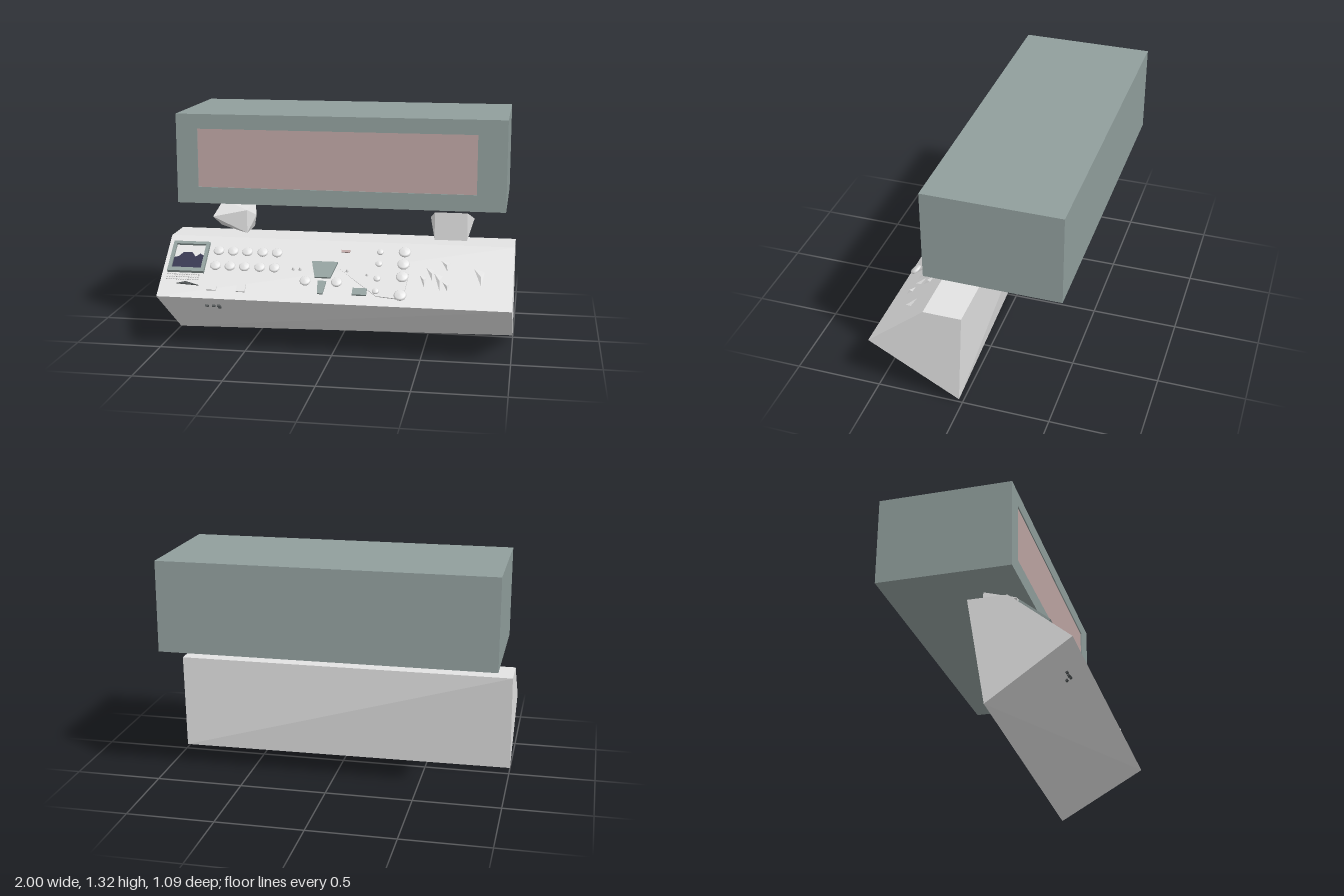
import * as THREE from 'three';
import { ConvexGeometry } from 'three/addons/geometries/ConvexGeometry.js';

const mat = (name, color) => {
  const m = new THREE.MeshStandardMaterial({ color });
  m.name = name;
  return m;
};

export function createModel() {
  const root = new THREE.Group();
  root.name = 'controlStation';
  const shell = mat('pale grey', 0xe2e2e2);
  const casing = mat('grey green', 0x909e9c);
  const rose = mat('dusty rose', 0xbda5a3);
  const navy = mat('dark navy', 0x30304c);
  const dark = mat('dark grey', 0x4a4f50);

  const add = (parent, name, geo, material, x = 0, y = 0, z = 0) => {
    const m = new THREE.Mesh(geo, material);
    m.name = name;
    m.position.set(x, y, z);
    parent.add(m);
    return m;
  };
  const box = (w, h, d) => new THREE.BoxGeometry(w, h, d);
  const hull = (pts) => new ConvexGeometry(pts.map((p) => new THREE.Vector3(...p)));
  const shapeOf = (pts) => new THREE.Shape(pts.map((p) => new THREE.Vector2(...p)));
  const plate = (pts, depth) =>
    new THREE.ExtrudeGeometry(shapeOf(pts), { depth, bevelEnabled: false });

  // Console: four-sided section with a slightly twisted bottom edge
  const L = [[-1, 0.595, -0.008], [-1, 0.595, 0.21], [-1, 0.315, 0.545], [-1, 0, 0.09]];
  const R = [[1, 0.595, -0.008], [1, 0.595, 0.21], [1, 0.315, 0.545], [1, 0.018, 0.02]];
  const tris = [R[0], R[1], R[2], R[0], R[2], R[3], L[0], L[2], L[1], L[0], L[3], L[2]];
  for (let i = 0; i < 4; i++) {
    const j = (i + 1) % 4;
    tris.push(L[i], L[j], R[i], L[j], R[j], R[i]);
  }
  const consoleGeo = new THREE.BufferGeometry();
  consoleGeo.setAttribute('position', new THREE.Float32BufferAttribute(tris.flat(), 3));
  consoleGeo.computeVertexNormals();
  add(root, 'consoleBody', consoleGeo, shell);

  // Display housing with a shallow recessed window
  add(root, 'displayHousing', box(1.9, 0.52, 0.755), casing, -0.005, 1.055, -0.1675);
  const rim = shapeOf([[-0.955, 0.795], [0.945, 0.795], [0.945, 1.315], [-0.955, 1.315]]);
  rim.holes.push(new THREE.Path(
    [[-0.83, 0.89], [-0.83, 1.23], [0.78, 1.23], [0.78, 0.89]].map((p) => new THREE.Vector2(...p))));
  add(root, 'displayRim', new THREE.ExtrudeGeometry(rim, { depth: 0.01, bevelEnabled: false }),
    casing, 0, 0, 0.21);
  add(root, 'displayWindow', box(1.61, 0.34, 0.004), rose, -0.025, 1.06, 0.212);

  // Faceted supports
  add(root, 'rightSupport', hull([
    [-0.74, 0.775, 0], [-0.545, 0.775, 0], [-0.515, 0.71, 0.1], [-0.55, 0.62, 0.195],
    [-0.755, 0.62, 0], [-0.755, 0.71, 0.19], [-0.55, 0.755, 0.19], [-0.55, 0.62, 0]]), shell);
  add(root, 'leftSupport', hull([
    [0.545, 0.78, 0.197], [0.73, 0.78, 0.197], [0.73, 0.62, 0.195], [0.545, 0.62, 0.195],
    [0.76, 0.71, 0], [0.505, 0.71, 0], [0.54, 0.62, 0], [0.73, 0.62, 0]]), shell);

  // Sloped panel: local y runs up the slope, local z points out of it
  const panel = new THREE.Group();
  panel.name = 'controlPanel';
  panel.position.set(0, 0.595, 0.21);
  panel.rotation.x = -Math.atan2(0.335, 0.28);
  root.add(panel);
  const up = (y) => (y - 0.595) / 0.641;
  const onPanel = (name, geo, material, x, y, h = 0) =>
    add(panel, name, geo, material, x, up(y), h);
  const slopePlate = (name, pts, depth, material, h = 0) =>
    add(panel, name, plate(pts.map(([x, y]) => [x, up(y)]), depth), material, 0, 0, h);

  // Round knobs
  const knob = (x, y, r, h = 0.016, base = 0) => {
    const g = new THREE.LatheGeometry([[r * 0.9, 0], [r, h * 0.5], [r * 0.8, h], [0, h * 1.15]]
      .map((p) => new THREE.Vector2(...p)), 14);
    g.rotateX(Math.PI / 2);
    onPanel('knob', g, shell, x, y, base);
  };
  for (const x of [-0.695, -0.61, -0.525, -0.435, -0.35])
    for (const y of [0.528, 0.46]) knob(x, y, 0.032);
  for (const x of [-0.16, 0.02]) knob(x, 0.408, 0.032);

  // Raised fan plate carrying the knob columns
  const fan = [[0.02, 0.47], [0.25, 0.54], [0.4, 0.575], [0.42, 0.46], [0.4, 0.345], [0.25, 0.355]];
  add(panel, 'fanPlate', hull([
    ...fan.map(([x, y]) => [x, up(y), -0.004]),
    ...fan.map(([x, y]) => [x, up(y), 0.001 + (x - 0.02) * 0.02])]), shell);
  for (const y of [0.55, 0.495, 0.44, 0.36]) knob(0.385, y, 0.036, 0.018, 0.006);
  for (const y of [0.548, 0.495, 0.43, 0.375]) knob(0.245, y, 0.02, 0.014, 0.004);

  // Small switches
  for (const [x, y] of [[-0.24, 0.46], [-0.2, 0.46], [0.07, 0.46], [0.185, 0.445]]) {
    const g = new THREE.ConeGeometry(0.012, 0.022, 6);
    g.rotateX(Math.PI / 2);
    onPanel('switch', g, shell, x, y, 0.01);
  }

  // Monitor with frame, pale screen and dark trace
  const [x0, x1, y0, y1] = [-0.97, -0.755, 0.425, 0.56];
  const frame = shapeOf([[x0, up(y0)], [x1, up(y0)], [x1, up(y1)], [x0, up(y1)]]);
  frame.holes.push(shapeOf([[x0 + 0.02, up(y0 + 0.016)], [x0 + 0.02, up(y1 - 0.012)],
    [x1 - 0.02, up(y1 - 0.012)], [x1 - 0.02, up(y0 + 0.016)]]));
  add(panel, 'monitorFrame',
    new THREE.ExtrudeGeometry(frame, { depth: 0.02, bevelEnabled: false }), casing);
  onPanel('monitorScreen', box(0.18, 0.17, 0.004), shell, -0.8625, 0.494, 0.003);
  slopePlate('screenTrace', [[-0.95, 0.442], [-0.775, 0.442], [-0.775, 0.5], [-0.8, 0.51],
    [-0.825, 0.495], [-0.85, 0.515], [-0.9, 0.515], [-0.925, 0.495], [-0.95, 0.49]],
  0.002, navy, 0.006);

  // Keyboard
  for (let r = 0; r < 3; r++)
    for (let c = 0; c < 14; c++)
      onPanel('key', box(0.008, 0.009, 0.006), shell, -0.965 + c * 0.014, 0.418 - r * 0.011, 0.003);
  slopePlate('keyboardWedge', [[-0.9, 0.375], [-0.77, 0.37], [-0.85, 0.385]], 0.006, dark);

  // Centre tray and its tab
  slopePlate('centreTray', [[-0.11, 0.425], [-0.02, 0.425], [0.01, 0.495], [-0.14, 0.495]],
    0.012, casing);
  slopePlate('centreTab', [[-0.08, 0.355], [-0.05, 0.355], [-0.04, 0.41], [-0.09, 0.41]],
    0.01, casing);

  // Small plates and readouts
  onPanel('rosePlate', box(0.05, 0.016, 0.006), rose, 0.045, 0.548, 0.003);
  onPanel('smallReadout', box(0.08, 0.045, 0.012), casing, 0.155, 0.37, 0.006);
  onPanel('squareButton', box(0.055, 0.03, 0.008), shell, -0.69, 0.36, 0.004);
  onPanel('squareButton', box(0.05, 0.05, 0.008), shell, -0.52, 0.365, 0.004);

  // Angular shards at the left end
  for (const [x, y, w, h] of [[0.5, 0.43, 0.04, 0.08], [0.54, 0.46, 0.05, 0.09],
    [0.585, 0.43, 0.05, 0.12], [0.62, 0.5, 0.05, 0.07], [0.63, 0.41, 0.04, 0.06],
    [0.81, 0.455, 0.06, 0.12]]) {
    onPanel('shard', hull([[-w / 2, h / 2, 0], [w / 2, h / 3, 0], [w / 4, -h / 2, 0],
      [w / 6, 0, 0.012]]), shell, x, y);
  }

  // Small sockets under the nose
  for (const [x, y] of [[-0.73, 0.25], [-0.69, 0.25], [-0.66, 0.252], [-0.66, 0.238]]) {
    const t = (0.315 - y) / 0.315;
    add(root, 'socket', box(0.018, 0.014, 0.02), dark, x, y, 0.545 - t * 0.455)
      .rotation.x = 0.965;
  }
  return root;
}
